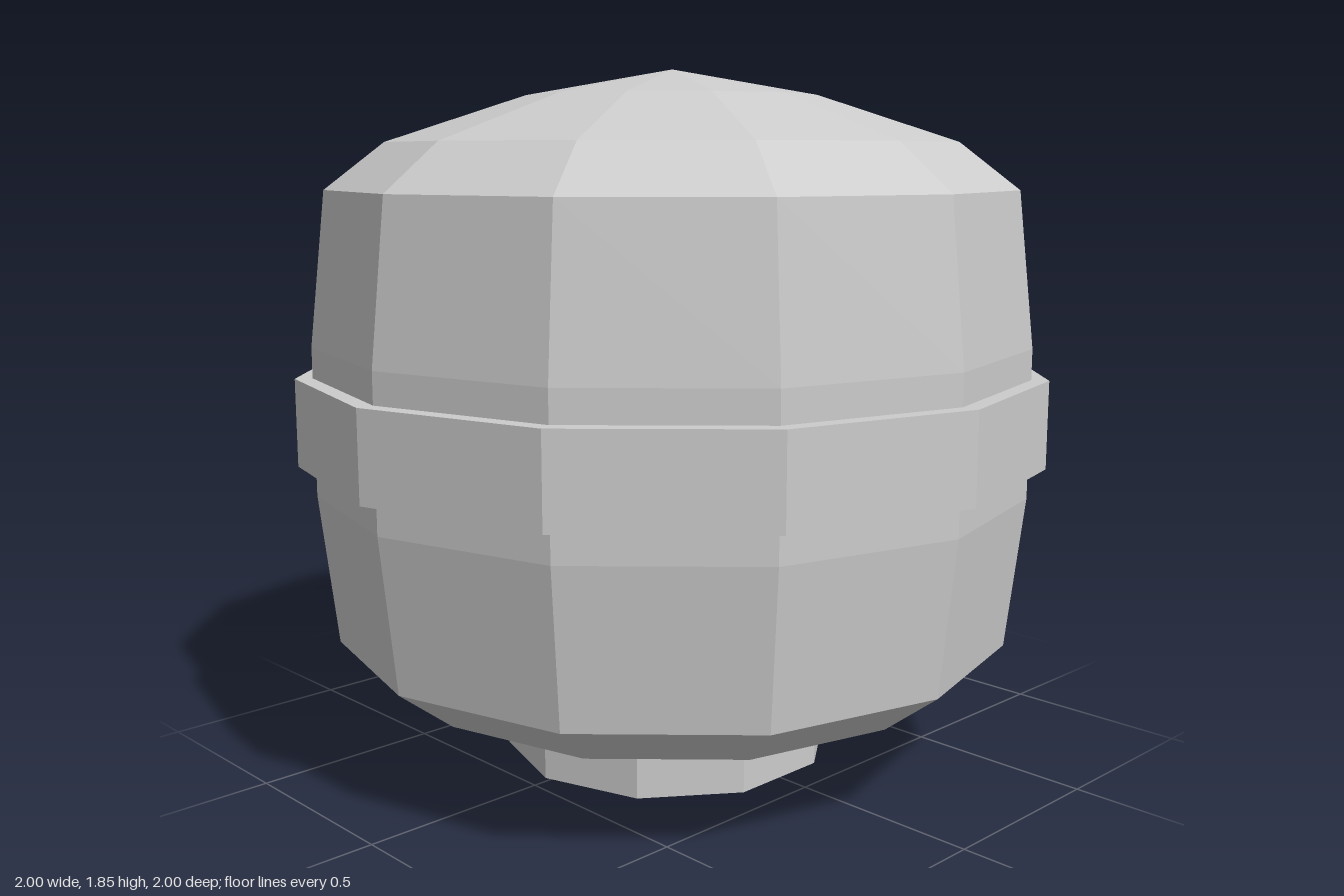
import * as THREE from 'three';

// Faceted solid of revolution from [radius, height] points, listed so faces point outwards
function turned(name, profile, sides, start, side = THREE.FrontSide) {
  const points = profile.map(([r, y]) => new THREE.Vector2(r, y));
  const geometry = new THREE.LatheGeometry(points, sides, start).toNonIndexed();
  geometry.computeVertexNormals();
  const material = new THREE.MeshStandardMaterial({ color: 0xcccccc, flatShading: true, side });
  const mesh = new THREE.Mesh(geometry, material);
  mesh.name = name;
  return mesh;
}

// Closed ring with a rectangular section
function ring(name, inner, outer, bottom, top, sides, start) {
  const section = [[inner, bottom], [outer, bottom], [outer, top], [inner, top], [inner, bottom]];
  return turned(name, section, sides, start);
}

export function createModel() {
  const group = new THREE.Group();
  group.name = 'barrelShell';

  // Hollow twelve-sided shell: open underneath, pointed dome on top
  const middle = 0.945;
  const upper = [[0.955, 1.14], [0.91, 1.54], [0.755, 1.66], [0.39, 1.78]];
  const lower = upper.map(([r, y]) => [r, 2 * middle - y]).reverse();
  const shell = turned('shell', [...lower, ...upper, [0, 1.85]], 12, 0, THREE.DoubleSide);

  // Raised belt around the middle
  const belt = ring('belt', 0.94, 1, 0.83, 1.06, 12, 0);

  // Ten-sided collar framing the opening underneath, set slightly back
  const collar = ring('baseCollar', 0.29, 0.45, 0, 0.13, 10, Math.PI / 2);
  collar.position.z = -0.017;

  group.add(shell, belt, collar);
  return group;
}
